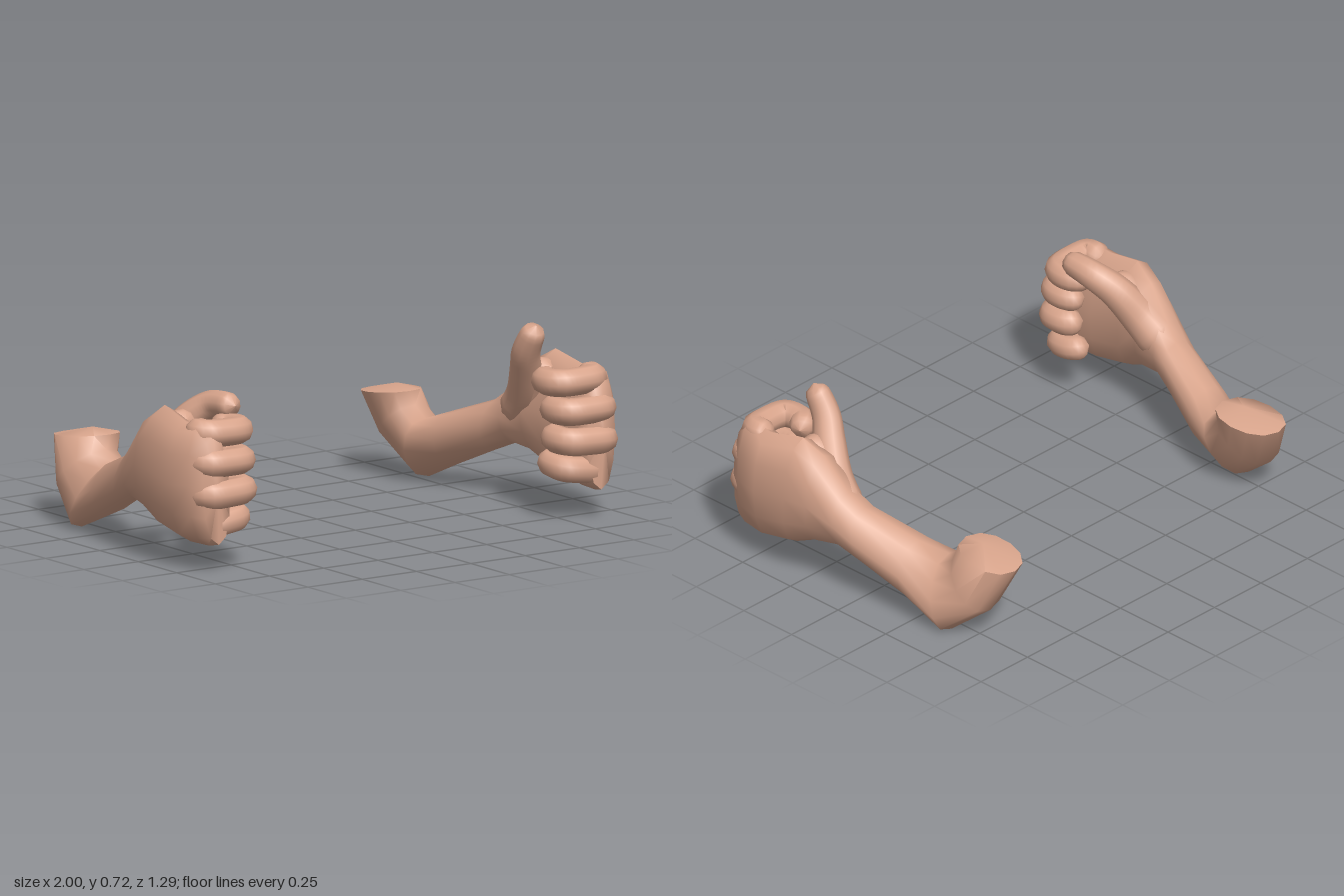
import * as THREE from 'three';
import { mergeVertices, toCreasedNormals } from 'three/addons/utils/BufferGeometryUtils.js';

const SIDES = 12;

// Arm cross-sections: underside point, upper point, half width in x
const ARM = [
  [0.71, 0.315, -0.645, 0.69, 0.345, -0.37, 0.107],
  [0.755, 0.13, -0.56, 0.71, 0.29, -0.365, 0.108],
  [0.80, 0.0, -0.4, 0.71, 0.25, -0.3, 0.108],
  [0.80, 0.08, -0.21, 0.77, 0.29, -0.2, 0.108],
  [0.845, 0.16, -0.03, 0.84, 0.37, 0.02, 0.092],
  [0.87, 0.205, 0.08, 0.86, 0.42, 0.08, 0.09],
  [0.89, 0.18, 0.2, 0.88, 0.545, 0.19, 0.096],
  [0.90, 0.13, 0.31, 0.90, 0.595, 0.28, 0.095],
  [0.90, 0.10, 0.45, 0.915, 0.56, 0.44, 0.092],
  [0.89, 0.10, 0.55, 0.905, 0.575, 0.54, 0.085],
  [0.88, 0.11, 0.605, 0.895, 0.53, 0.59, 0.062],
];

// Upper-arm stub, elbow, forearm and palm as one closed skin
function armGeometry(side) {
  const pos = [], idx = [];
  const tri = (a, b, c) => (side > 0 ? idx.push(a, b, c) : idx.push(a, c, b));
  for (const [xb, yb, zb, xt, yt, zt, w] of ARM) {
    for (let j = 0; j < SIDES; j++) {
      const a = (j / SIDES) * Math.PI * 2;
      const c = Math.sign(Math.cos(a)) * Math.abs(Math.cos(a)) ** 0.85;
      const s = Math.sin(a) / 2;
      pos.push(
        side * ((xb + xt) / 2 + w * c + s * (xt - xb)),
        (yb + yt) / 2 + s * (yt - yb),
        (zb + zt) / 2 + s * (zt - zb)
      );
    }
  }
  const last = ARM.length - 1;
  for (let i = 0; i < last; i++) {
    for (let j = 0; j < SIDES; j++) {
      const k = (j + 1) % SIDES;
      const a = i * SIDES + j, b = i * SIDES + k;
      tri(a, b, b + SIDES);
      tri(a, b + SIDES, a + SIDES);
    }
  }
  // End caps
  const start = pos.length / 3;
  pos.push(side * 0.7, 0.36, -0.47, side * 0.89, 0.32, 0.615);
  for (let j = 0; j < SIDES; j++) {
    const k = (j + 1) % SIDES;
    tri(start, k, j);
    tri(start + 1, last * SIDES + j, last * SIDES + k);
  }
  const g = new THREE.BufferGeometry();
  g.setAttribute('position', new THREE.Float32BufferAttribute(pos, 3));
  g.setIndex(idx);
  return toCreasedNormals(g, 1.2);
}

// Rounded digit along a curve; radius blends from r0 to r1 and closes at both ends
function digitGeometry(side, points, r0, r1) {
  const curve = new THREE.CatmullRomCurve3(points.map(([x, y, z]) => new THREE.Vector3(side * x, y, z)));
  const rows = 28, around = 10, length = curve.getLength();
  const g = new THREE.TubeGeometry(curve, rows, 1, around, false);
  const p = g.attributes.position, v = new THREE.Vector3();
  for (let i = 0; i <= rows; i++) {
    const t = i / rows, c = curve.getPointAt(t);
    const r = THREE.MathUtils.lerp(r0, r1, t);
    const end = Math.min(1, (Math.min(t, 1 - t) * length) / r);
    const scale = r * Math.max(0.02, Math.sqrt(1 - (1 - end) ** 2));
    for (let j = 0; j <= around; j++) {
      const n = i * (around + 1) + j;
      v.fromBufferAttribute(p, n).sub(c).multiplyScalar(scale).add(c);
      p.setXYZ(n, v.x, v.y, v.z);
    }
  }
  g.deleteAttribute('uv');
  g.deleteAttribute('normal');
  const merged = mergeVertices(g, 1e-5);
  merged.computeVertexNormals();
  return merged;
}

// Fingers: knuckle x, knuckle height, tip height, forward shift, inward shift, radius
const FINGERS = {
  indexFinger: [0.895, 0.53, 0.52, 0, 0, 0.054],
  middleFinger: [0.91, 0.42, 0.415, 0.036, 0.015, 0.054],
  ringFinger: [0.91, 0.295, 0.31, 0.044, 0.015, 0.055],
  littleFinger: [0.88, 0.165, 0.215, 0.012, 0.02, 0.052],
};

// Raised thumb on the left hand, folded thumb on the right hand
const THUMBS = {
  left: [[0.86, 0.31, 0.08], [0.825, 0.42, 0.19], [0.775, 0.53, 0.265], [0.74, 0.61, 0.315], [0.737, 0.72, 0.385]],
  right: [[0.86, 0.31, 0.08], [0.825, 0.42, 0.19], [0.765, 0.53, 0.265], [0.722, 0.585, 0.34], [0.715, 0.602, 0.48]],
};

// Fleshy pad that joins the thumb to the palm
const THUMB_PAD = [[0.88, 0.3, 0.08], [0.85, 0.4, 0.2], [0.83, 0.5, 0.27], [0.84, 0.54, 0.34]];

export function createModel() {
  const skin = new THREE.MeshStandardMaterial({ color: 0xd9a58c });
  skin.name = 'skin';
  const model = new THREE.Group();
  model.name = 'armPair';

  for (const [name, side] of [['left', 1], ['right', -1]]) {
    const arm = new THREE.Group();
    arm.name = name + 'Arm';
    const add = (part, geometry) => {
      const mesh = new THREE.Mesh(geometry, skin);
      mesh.name = part;
      arm.add(mesh);
    };

    add('forearmAndPalm', armGeometry(side));

    // Fingers curl from the knuckle across the front and back to the palm
    for (const [part, [x0, y0, y1, dz, dx, r]] of Object.entries(FINGERS)) {
      const path = [[x0, 0.45], [x0, 0.535], [0.83, 0.55], [0.735 + dx, 0.535], [0.725 + dx, 0.455], [0.785, 0.41]];
      const points = path.map(([x, z], i) => [x, THREE.MathUtils.lerp(y0, y1, i / 5), z + dz]);
      add(part, digitGeometry(side, points, r, r * 0.95));
    }

    add('thumb', digitGeometry(side, THUMBS[name], 0.085, 0.045));
    add('thumbPad', digitGeometry(side, THUMB_PAD, 0.08, 0.055));
    model.add(arm);
  }
  return model;
}
